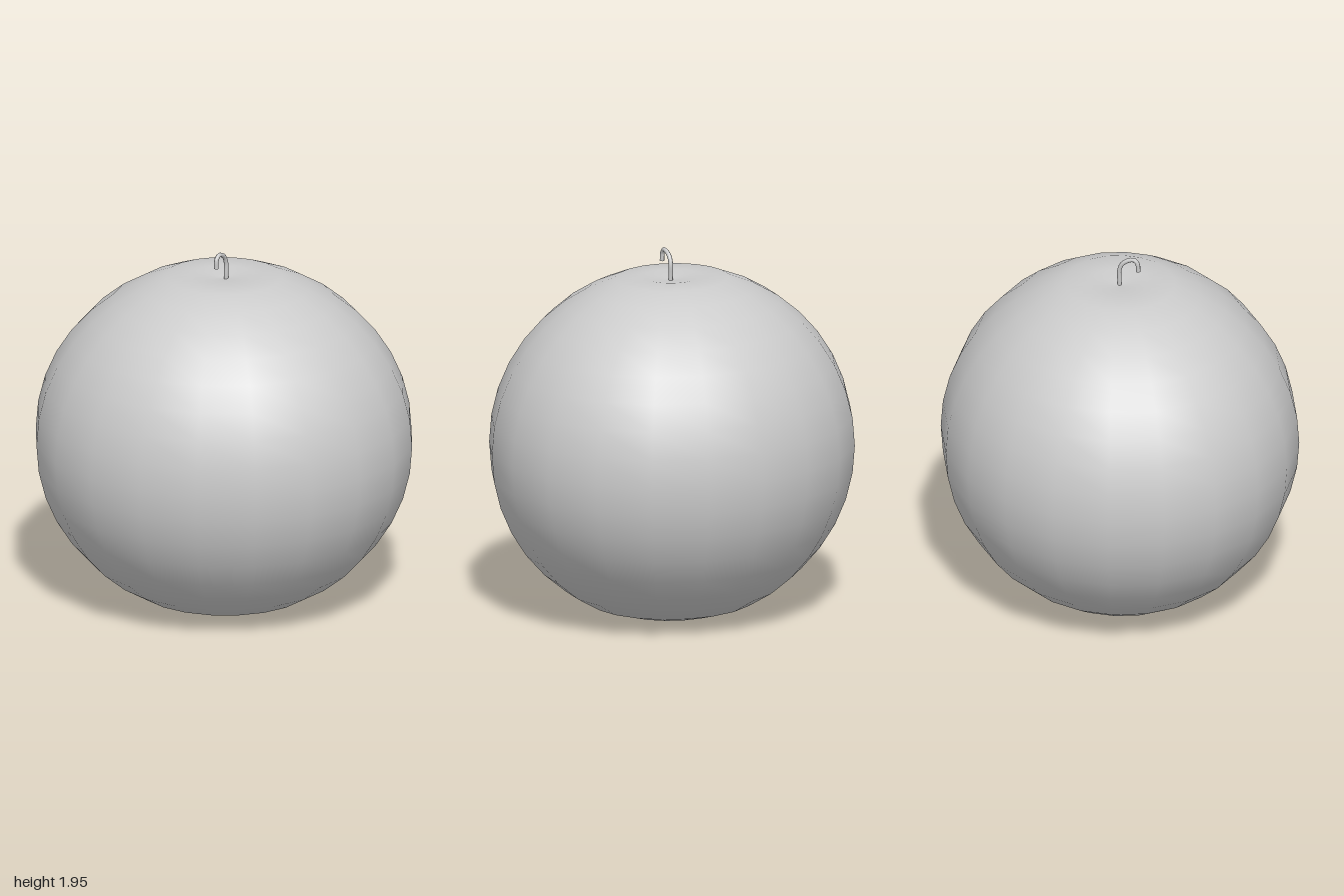
import * as THREE from 'three';

export function createModel() {
  const group = new THREE.Group();
  const material = new THREE.MeshStandardMaterial({ color: 0xcccccc, side: THREE.DoubleSide });

  // Body: 20-sided round profile with flattened, slightly dimpled poles
  const profile = [[0, 0.012], [0.156, 0.004], [0.309, 0.02]];
  for (let ring = 3; ring <= 17; ring++) {
    const a = (ring * Math.PI) / 20;
    profile.push([Math.sin(a), 0.905 - 0.946 * Math.cos(a)]);
  }
  profile.push([0.309, 1.805], [0.156, 1.812], [0, 1.79]);
  const bodyGeometry = new THREE.LatheGeometry(profile.map(([r, y]) => new THREE.Vector2(r, y)), 20);
  bodyGeometry.scale(1, 1, 0.94);
  const body = new THREE.Mesh(bodyGeometry, material);
  body.name = 'fruitBody';
  group.add(body);

  // Stem: thin hook bending forward and a little to the side
  const path = new THREE.CatmullRomCurve3([
    [0.011, 1.77, 0], [0.011, 1.82, 0], [0.011, 1.875, -0.001], [0.005, 1.913, 0.012],
    [-0.005, 1.934, 0.038], [-0.018, 1.942, 0.07], [-0.026, 1.922, 0.088], [-0.027, 1.875, 0.092],
  ].map((p) => new THREE.Vector3(...p)));
  const stem = new THREE.Mesh(new THREE.TubeGeometry(path, 16, 0.012, 8), material);
  stem.name = 'stem';
  group.add(stem);

  // Cap closing the stem's free end
  const tip = new THREE.Mesh(new THREE.CircleGeometry(0.012, 8), material);
  tip.name = 'stemTip';
  tip.position.copy(path.getPoint(1));
  tip.quaternion.setFromUnitVectors(new THREE.Vector3(0, 0, 1), path.getTangent(1));
  group.add(tip);

  return group;
}
